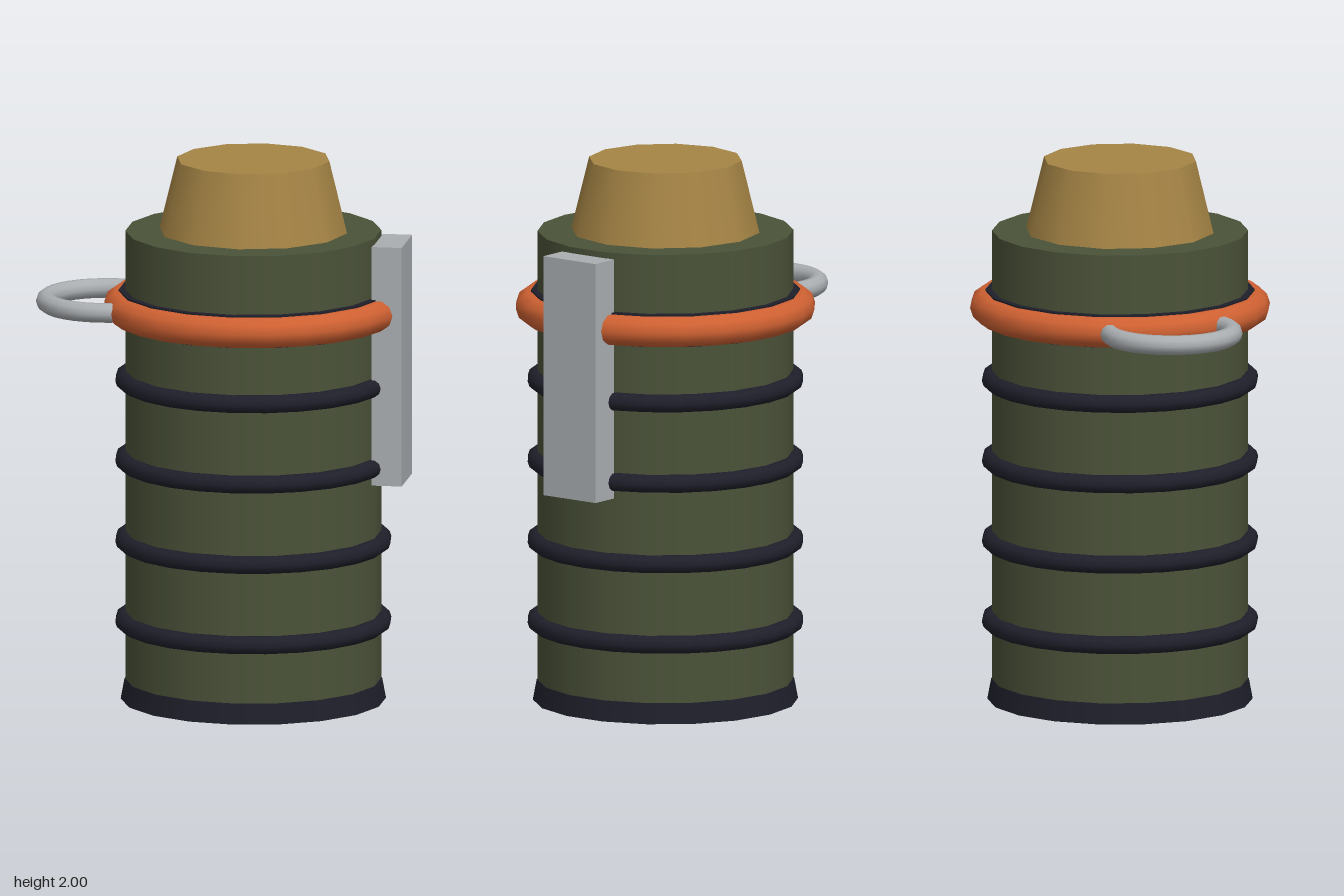
import * as THREE from 'three';

const material = (name, color) => {
  const m = new THREE.MeshStandardMaterial({ color });
  m.name = name;
  return m;
};

export function createModel() {
  const olive = material('olive', 0x4b5339);
  const black = material('black', 0x1f1f2b);
  const orange = material('orange', 0xcf6132);
  const brass = material('brass', 0xa58445);
  const steel = material('steel', 0xaaaeb1);

  const model = new THREE.Group();
  model.name = 'canister';
  const axis = 0.115; // body axis, offset by the pull ring

  const add = (name, geometry, mat, x, y) => {
    const mesh = new THREE.Mesh(geometry, mat);
    mesh.name = name;
    mesh.position.set(x, y, 0);
    model.add(mesh);
  };
  // Upright cylinder or cone between two heights
  const drum = (name, mat, rTop, rBottom, y0, y1, sides) =>
    add(name, new THREE.CylinderGeometry(rTop, rBottom, y1 - y0, sides), mat, axis, (y0 + y1) / 2);
  // Horizontal ring
  const ring = (name, mat, radius, tube, x, y, sides) =>
    add(name, new THREE.TorusGeometry(radius, tube, 10, sides).rotateX(Math.PI / 2), mat, x, y);

  // Body, foot and fuse cone
  drum('body', olive, 0.465, 0.465, 0.04, 1.735, 18);
  drum('foot', black, 0.468, 0.482, 0, 0.075, 18);
  drum('fuseCone', brass, 0.28, 0.345, 1.735, 2, 12);

  // Evenly spaced ribs
  for (let i = 0; i < 4; i++) ring('rib' + (i + 1), black, 0.471, 0.033, axis, 0.293 + i * 0.298, 24);

  // Marking ring on its dark band
  drum('collarBand', black, 0.489, 0.489, 1.398, 1.517, 18);
  ring('collarRing', orange, 0.49, 0.057, axis, 1.457, 24);

  // Pull ring and safety lever
  ring('pullRing', steel, 0.224, 0.036, -0.422, 1.457, 32);
  add('lever', new THREE.BoxGeometry(0.11, 0.885, 0.24), steel, 0.625, 1.27);

  return model;
}
